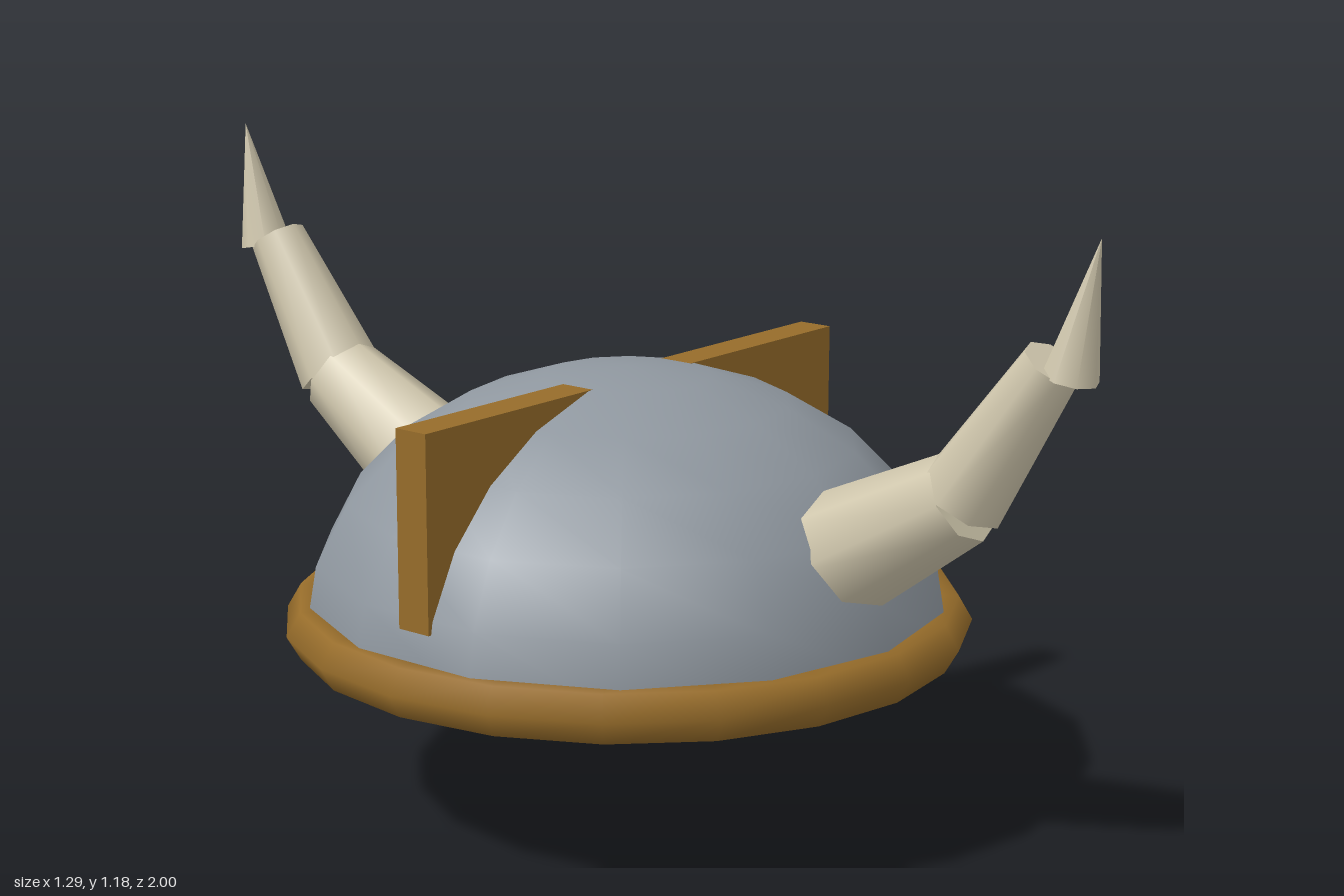
import * as THREE from 'three';

export function createModel() {
  const steel = new THREE.MeshStandardMaterial({ name: 'steel', color: 0x8f979f, side: THREE.DoubleSide });
  const bronze = new THREE.MeshStandardMaterial({ name: 'bronze', color: 0x966c2a });
  const horn = new THREE.MeshStandardMaterial({ name: 'horn', color: 0xcfc6ac });

  const model = new THREE.Group();
  model.name = 'hornedHelmet';

  const add = (parent, name, geometry, material, x = 0, y = 0, z = 0) => {
    const mesh = new THREE.Mesh(geometry, material);
    mesh.name = name;
    mesh.position.set(x, y, z);
    parent.add(mesh);
    return mesh;
  };

  // Open, flattened half-sphere shell
  const dome = new THREE.SphereGeometry(0.605, 14, 6, 0, Math.PI * 2, 0, Math.PI / 2);
  dome.scale(1, 0.475 / 0.605, 1).rotateY(Math.PI / 2);
  add(model, 'dome', dome, steel, 0, 0.35, 0);

  // Six-sided rim ring
  const rim = new THREE.TorusGeometry(0.593, 0.052, 6, 20).rotateX(Math.PI / 2);
  add(model, 'rim', rim, bronze, 0, 0.35, 0);

  // Crest plate running through the dome
  add(model, 'crest', new THREE.BoxGeometry(1.16, 0.36, 0.07), bronze, 0, 0.63, 0);

  // Nose guard hanging from the rim
  add(model, 'noseGuard', new THREE.BoxGeometry(0.06, 0.388, 0.09), steel, 0.599, 0.194, 0);

  // Horn pieces: start (z, y), end (z, y), start and end radius
  const pieces = [
    ['hornBase', [0.468, 0.54], [0.747, 0.703], 0.12, 0.083],
    ['hornMiddle', [0.748, 0.705], [0.917, 0.96], 0.083, 0.055],
    ['hornTip', [0.95, 0.94], [1.0, 1.18], 0.05, 0],
  ];
  const up = new THREE.Vector3(0, 1, 0);
  for (const side of [1, -1]) {
    const group = new THREE.Group();
    group.name = side > 0 ? 'frontHorn' : 'backHorn';
    group.rotation.y = side > 0 ? 0 : Math.PI;
    for (const [name, a, b, r0, r1] of pieces) {
      const start = new THREE.Vector3(0, a[1], a[0]);
      const end = new THREE.Vector3(0, b[1], b[0]);
      const axis = end.clone().sub(start);
      const mid = start.clone().add(end).multiplyScalar(0.5);
      const geometry = new THREE.CylinderGeometry(r1, r0, axis.length(), 8);
      const mesh = add(group, name, geometry, horn, mid.x, mid.y, mid.z);
      mesh.quaternion.setFromUnitVectors(up, axis.normalize());
    }
    model.add(group);
  }

  return model;
}
